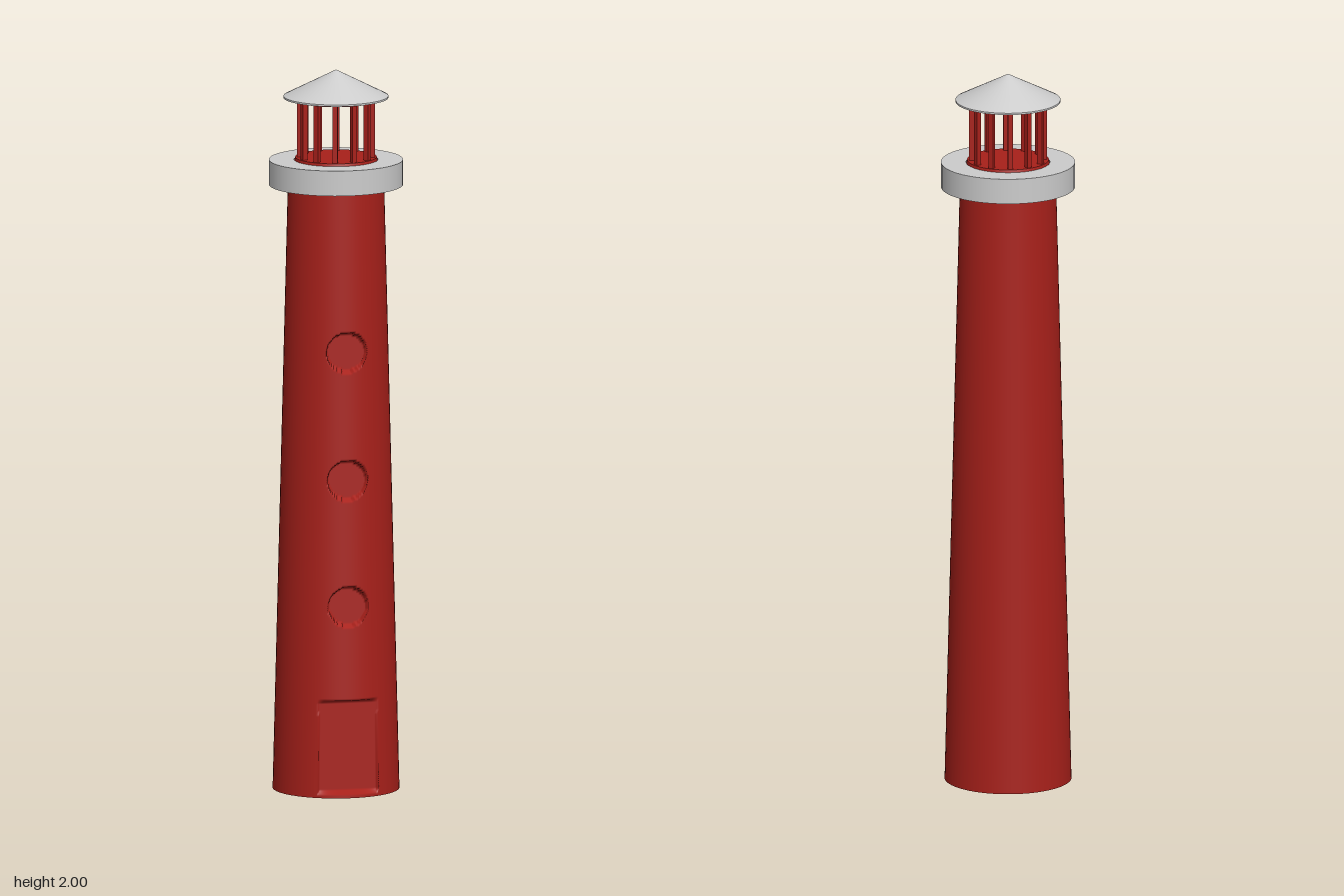
import * as THREE from 'three';

const red = new THREE.MeshStandardMaterial({ color: 0xa8201a, side: THREE.DoubleSide });
const grey = new THREE.MeshStandardMaterial({ color: 0xcccccc, side: THREE.DoubleSide });

const TOP = 1.69;
const R0 = 0.174, R1 = 0.132;
const radiusAt = (y) => R0 + (R1 - R0) * y / TOP;

// Sector of the wall that carries the door and windows (angles from +x toward +z)
const FACE = THREE.MathUtils.degToRad(31);
const HALF = THREE.MathUtils.degToRad(33);

function add(parent, name, geometry, material) {
  const mesh = new THREE.Mesh(geometry, material);
  mesh.name = name;
  parent.add(mesh);
  return mesh;
}

// Each straight run gets its own lathe band, so corners stay sharp
function turned(parent, name, points, material, segments = 48) {
  const group = new THREE.Group();
  group.name = name;
  for (let i = 0; i < points.length - 1; i++) {
    const pair = [points[i], points[i + 1]].map(([r, y]) => new THREE.Vector2(r, y));
    add(group, name + 'Band', new THREE.LatheGeometry(pair, segments), material);
  }
  parent.add(group);
}

// Wall depth toward the doorway, cut back to a flat inside the door and windows
function cutDepth(u, y) {
  const r = radiusAt(y);
  const depth = Math.sqrt(r * r - u * u);
  if (y > 0.012 && y < 0.27 && Math.abs(u) < 0.082) return Math.min(depth, 0.143);
  for (const wy of [0.53, 0.88, 1.235]) {
    if (Math.hypot(u, y - wy) < 0.054) return Math.min(depth, r - 0.022);
  }
  return depth;
}

function recessedWall() {
  const geo = new THREE.PlaneGeometry(2 * HALF, TOP, 52, 300);
  const p = geo.attributes.position;
  const c = Math.cos(FACE), s = Math.sin(FACE);
  for (let i = 0; i < p.count; i++) {
    const y = p.getY(i) + TOP / 2;
    const u = radiusAt(y) * Math.sin(p.getX(i));
    const d = cutDepth(u, y);
    p.setXYZ(i, d * c + u * s, y, d * s - u * c);
  }
  geo.computeVertexNormals();
  return geo;
}

export function createModel() {
  const model = new THREE.Group();
  model.name = 'lighthouse';

  // Tower: plain wall around the back, recessed wall at the doorway
  const tower = new THREE.Group();
  tower.name = 'tower';
  model.add(tower);
  const start = Math.PI / 2 - FACE + HALF;
  add(tower, 'plainWall', new THREE.LatheGeometry(
    [new THREE.Vector2(R0, 0), new THREE.Vector2(R1, TOP)], 48, start, 2 * Math.PI - 2 * HALF), red);
  add(tower, 'doorAndWindowWall', recessedWall(), red);
  turned(tower, 'hollowInside', [[0, 1.6], [0.105, 1.6], [0.137, 0], [R0, 0]], red);

  // Gallery ring around the top of the tower
  turned(model, 'gallery',
    [[0.11, 1.68], [0.184, 1.68], [0.184, 1.75], [0.115, 1.75], [0.115, 1.68]], grey);

  // Lantern room: deck, ring of bars and head ring
  const lantern = new THREE.Group();
  lantern.name = 'lantern';
  model.add(lantern);
  turned(lantern, 'lanternDeck', [[0.116, 1.74], [0.112, 1.757], [0, 1.757]], red);
  turned(lantern, 'headRing', [[0, 1.915], [0.112, 1.915], [0.112, 1.93]], red);
  const BARS = 12;
  for (let i = 0; i < BARS; i++) {
    const a = (i + 0.5) / BARS * Math.PI * 2;
    const bar = add(lantern, 'lanternBar', new THREE.BoxGeometry(0.014, 0.165, 0.014), red);
    bar.position.set(0.1 * Math.sin(a), 1.836, 0.1 * Math.cos(a));
    bar.rotation.y = a;
  }

  // Conical roof with a thin overhanging rim
  turned(model, 'roof', [[0.11, 1.925], [0.144, 1.922], [0.144, 1.927], [0, 2]], grey);

  return model;
}
